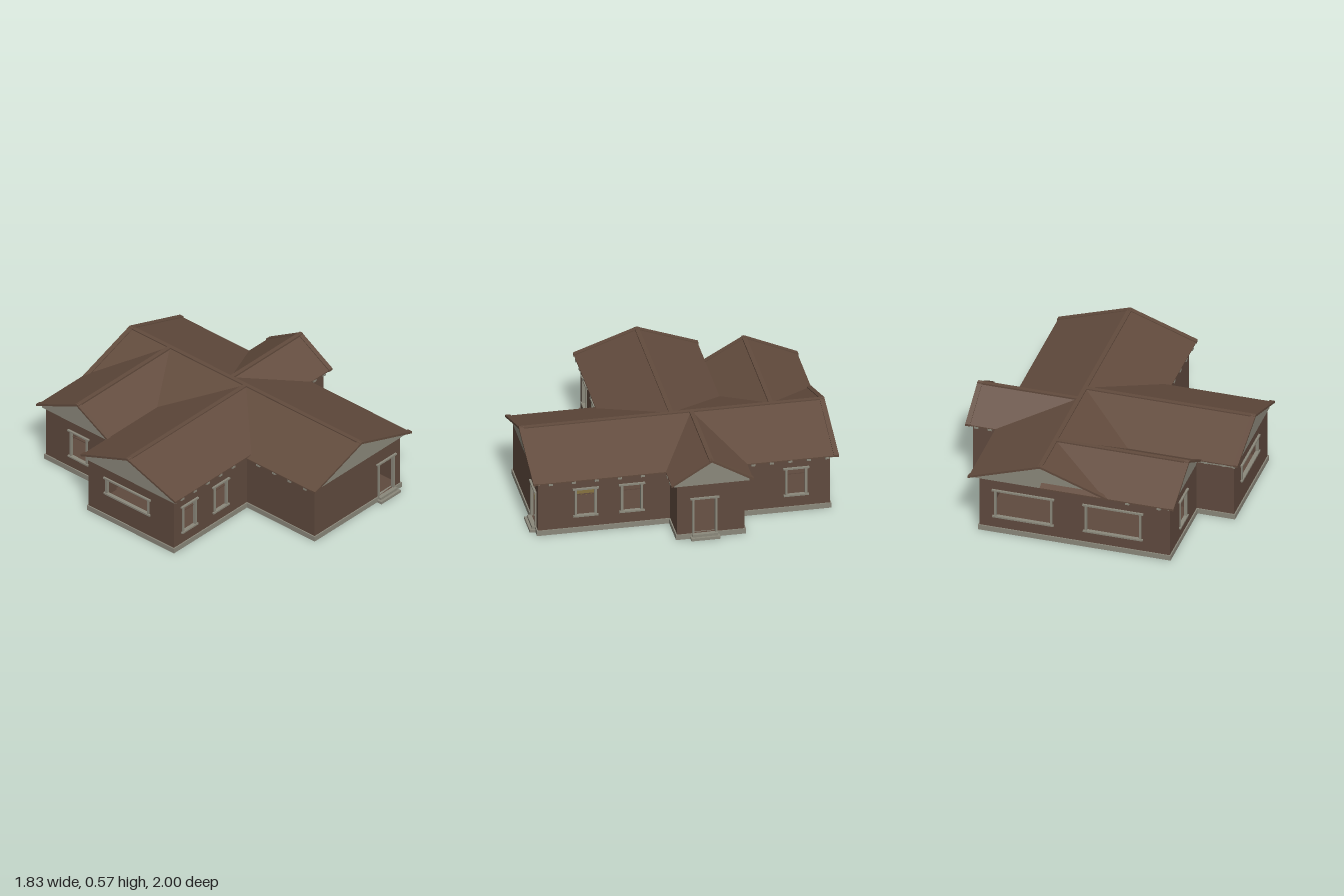
import * as THREE from 'three';

const mat = (name, color) => {
  const m = new THREE.MeshStandardMaterial({ color });
  m.name = name;
  return m;
};

export function createModel() {
  const model = new THREE.Group();
  model.name = 'house';
  const brown = mat('wall brown', 0x5f4a3e);
  const roofBrown = mat('roof brown', 0x624b3d);
  const grey = mat('trim grey', 0x8a877a);
  const ochre = mat('interior ochre', 0x86723f);

  const add = (parent, name, geo, material) => {
    const m = new THREE.Mesh(geo, material);
    m.name = name;
    parent.add(m);
    return m;
  };
  // Box given by its min and max corners
  const box = (parent, name, material, x0, x1, y0, y1, z0, z1) => {
    const g = new THREE.BoxGeometry(x1 - x0, y1 - y0, z1 - z0);
    g.translate((x0 + x1) / 2, (y0 + y1) / 2, (z0 + z1) / 2);
    return add(parent, name, g, material);
  };
  const shapeOf = (pts) => new THREE.Shape(pts.map(([x, y]) => new THREE.Vector2(x, y)));
  const extrude = (shape, depth, z = 0) =>
    new THREE.ExtrudeGeometry(shape, { depth, bevelEnabled: false }).translate(0, 0, z);

  // Footprint corners [x, z] with the openings of the wall that starts there:
  // [from, to, bottom, top, isDoor]
  const LOW = 0.12, TOP = 0.31;
  const footprint = [
    [-0.18, 0.95, [[0.435, 0.57, 0.035, 0.28, true]]],
    [0.64, 0.95, [[0.7, 0.58, LOW, TOP], [0.4, 0.28, LOW, TOP]]],
    [0.64, 0.09, []],
    [0.865, 0.09, [[-0.02, -0.16, 0.035, 0.285, true]]],
    [0.865, -0.35, []],
    [0.64, -0.35, [[-0.67, -0.79, LOW, TOP]]],
    [0.64, -0.95, [[0.53, 0.165, LOW, TOP], [-0.075, -0.43, LOW, TOP]]],
    [-0.63, -0.95, [[-0.73, -0.6, LOW, TOP]]],
    [-0.63, -0.36, []],
    [-0.88, -0.36, [[-0.2, 0.15, 0.2, TOP]]],
    [-0.88, 0.37, [[-0.79, -0.68, LOW, TOP], [-0.49, -0.38, LOW, TOP]]],
    [-0.18, 0.37, []],
  ];

  // Frame around an opening, in wall space
  const frame = (parent, a, b, y0, y1, door) => {
    const g = new THREE.Group();
    g.name = door ? 'doorFrame' : 'windowFrame';
    parent.add(g);
    const w = 0.012;
    box(g, 'leftJamb', grey, a - w, a + 0.003, y0, y1, -0.012, 0.008);
    box(g, 'rightJamb', grey, b - 0.003, b + w, y0, y1, -0.012, 0.008);
    box(g, 'lintel', grey, a - 0.025, b + 0.025, y1 - 0.003, y1 + 0.008, -0.012, 0.014);
    if (door) {
      box(g, 'lowerStep', grey, a - 0.025, b + 0.025, 0, 0.018, 0, 0.045);
      box(g, 'upperStep', grey, a - 0.012, b + 0.012, 0.018, 0.035, -0.02, 0.028);
    } else {
      box(g, 'sill', grey, a - 0.022, b + 0.022, y0 - 0.008, y0 + 0.003, -0.012, 0.014);
      // Only the narrow windows have a transom
      if (b - a < 0.2) box(g, 'transomBar', brown, a, b, y1 - 0.047, y1 - 0.042, -0.014, -0.008);
    }
  };

  // Walls with base course and frieze
  footprint.forEach(([x0, z0, openings], i) => {
    const [x1, z1] = footprint[(i + 1) % footprint.length];
    const len = Math.hypot(x1 - x0, z1 - z0);
    const wall = new THREE.Group();
    wall.name = 'wall' + (i + 1);
    wall.position.set(x0, 0, z0);
    wall.rotation.y = Math.atan2(z0 - z1, x1 - x0);
    model.add(wall);
    const start = Math.abs(x1 - x0) > 0.01 ? x0 : z0;
    const shape = shapeOf([[0, 0.001], [len, 0.001], [len, 0.4], [0, 0.4]]);
    for (const [from, to, y0, y1, door] of openings) {
      const a = Math.abs(from - start), b = Math.abs(to - start);
      shape.holes.push(new THREE.Path(
        [[a, y0], [a, y1], [b, y1], [b, y0]].map(([x, y]) => new THREE.Vector2(x, y))));
      frame(wall, a, b, y0, y1, door);
    }
    add(wall, 'wallPanel', extrude(shape, 0.014, -0.014), brown);
    box(wall, 'baseCourse', grey, -0.008, len + 0.008, 0, 0.035, -0.003, 0.008);
    box(wall, 'frieze', grey, -0.004, len + 0.004, 0.384, 0.415, -0.014, 0.004);
  });

  // Floor, raised inside the base course, and ceiling follow the footprint
  const slab = (name, material, y, h) => {
    const g = extrude(shapeOf(footprint.map(([x, z]) => [x, -z])), h);
    g.rotateX(-Math.PI / 2).translate(0, y, 0);
    return add(model, name, g, material);
  };
  slab('floor', brown, 0.027, 0.006);
  slab('ceiling', grey, 0.385, 0.006);
  box(model, 'underfloorPanel', grey, -0.166, 0.23, 0.023, 0.028, 0.37, 0.936);

  // Interior partitions, ochre on one side
  const twoTone = [ochre, brown, brown, brown, brown, brown];
  box(model, 'frontPartition', twoTone, 0.22, 0.23, 0.03, 0.385, 0.45, 0.936);
  box(model, 'backPartition', twoTone, 0.05, 0.06, 0.03, 0.385, -0.936, -0.5);
  box(model, 'hallPartition', brown, 0.505, 0.63, 0.03, 0.385, 0.2, 0.21);
  box(model, 'leftPartition', brown, -0.63, -0.4, 0.03, 0.385, -0.37, -0.36);

  // Gable roofs: u runs across the ridge, the local z axis along it
  const RIDGE = 0.567;
  const roof = ({ name, alongX, eave, e0, r, e1, from, to, gables, tails }) => {
    const g = new THREE.Group();
    g.name = name;
    if (alongX) g.rotation.y = Math.PI / 2;
    model.add(g);
    const chevron = (out, lift, drop) => shapeOf([
      [e0 - out, eave - drop], [r, RIDGE - drop], [e1 + out, eave - drop],
      [e1 + out, eave + lift], [r, RIDGE + lift], [e0 - out, eave + lift]]);
    add(g, 'roofSlopes', extrude(chevron(0, 0, 0.008), to - from, from), roofBrown);
    box(g, 'ridgeCap', roofBrown, r - 0.014, r + 0.014, RIDGE - 0.01, RIDGE + 0.003, from, to);
    // Barge boards and gable walls at the open ends
    for (const [end, wallPlane] of gables) {
      add(g, 'bargeBoard',
        extrude(chevron(0.004, 0.006, 0.009), 0.032, end > wallPlane ? end - 0.032 : end), roofBrown);
      const tri = shapeOf([[e0 + 0.02, 0.386], [e1 - 0.02, 0.386], [e1 - 0.02, eave - 0.001],
        [r, RIDGE - 0.007], [e0 + 0.02, eave - 0.001]]);
      add(g, 'gableWall', extrude(tri, 0.016, wallPlane - 0.008), grey);
    }
    // Rafter tails under the eaves: [side, from, to, count]
    for (const [side, a, b, n] of tails) {
      const u = side < 0 ? e0 + 0.02 : e1 - 0.02;
      for (let k = 0; k < n; k++) {
        const z = a + ((b - a) * k) / (n - 1);
        box(g, 'rafterTail', grey, u - 0.022, u + 0.022, eave - 0.02, eave - 0.006, z - 0.013, z + 0.013);
      }
    }
  };
  roof({ name: 'mainRoof', eave: 0.408, e0: -0.22, r: 0.225, e1: 0.702, from: -0.996, to: 0.993,
    gables: [[0.993, 0.95], [-0.996, -0.95]],
    tails: [[-1, 0.5, 0.9, 4], [1, 0.28, 0.88, 5], [1, -0.92, -0.44, 5]] });
  // For roofs along x, u equals -z
  roof({ name: 'rightWingRoof', alongX: true, eave: 0.422, e0: -0.41, r: 0, e1: 0.395, from: -0.915, to: 0.225,
    gables: [[-0.915, -0.88]], tails: [[-1, -0.84, -0.35, 5], [1, -0.82, -0.7, 2]] });
  roof({ name: 'backWingRoof', alongX: true, eave: 0.412, e0: 0.38, r: 0.65, e1: 0.996, from: -0.67, to: 0.225,
    gables: [[-0.67, -0.63]], tails: [[1, -0.57, -0.36, 2]] });
  roof({ name: 'porchRoof', alongX: true, eave: 0.408, e0: -0.13, r: 0.13, e1: 0.4, from: 0.225, to: 0.902,
    gables: [[0.902, 0.865]], tails: [[-1, 0.74, 0.83, 2], [1, 0.74, 0.83, 2]] });

  return model;
}
